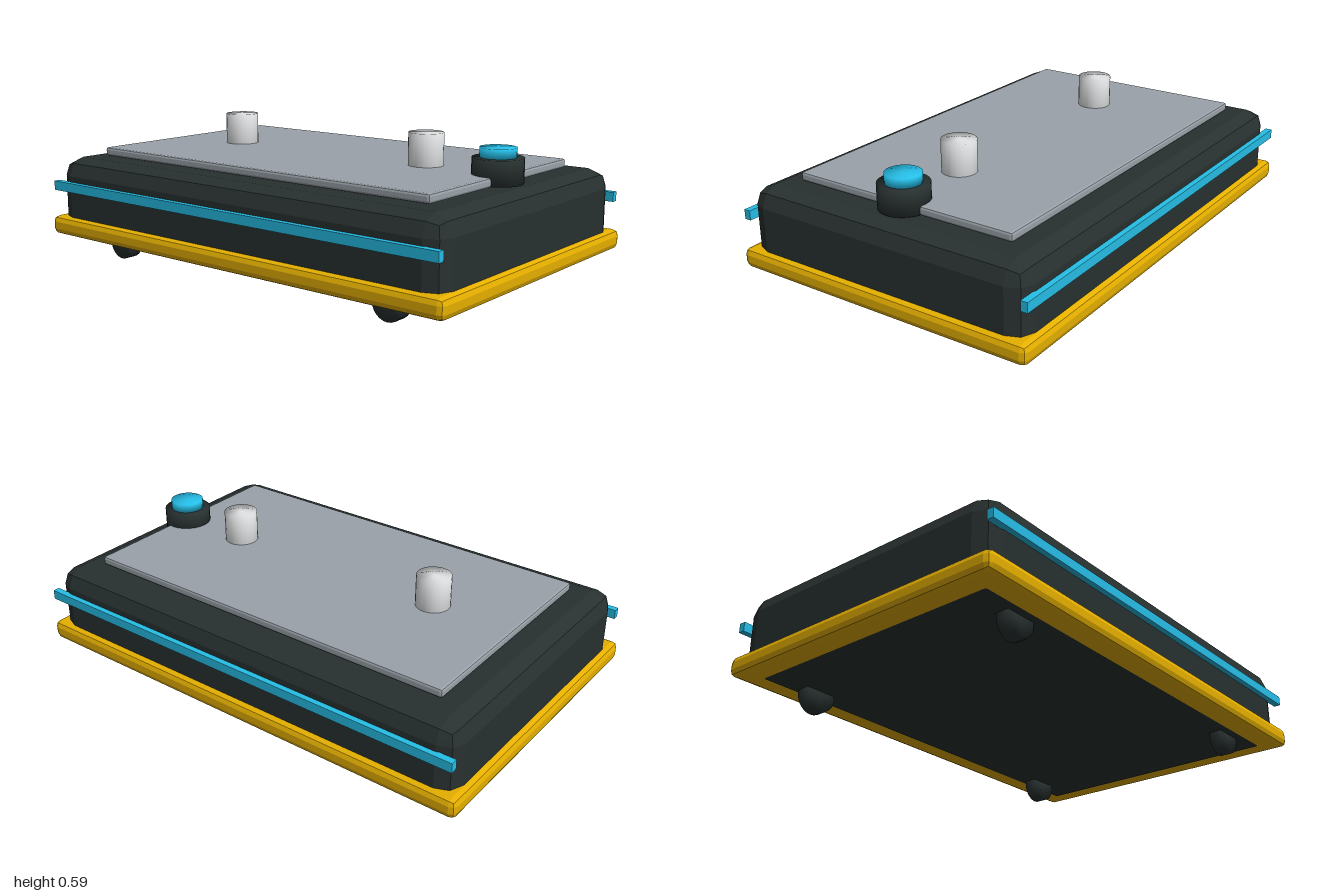
import * as THREE from 'three';
import { RoundedBoxGeometry } from 'three/addons/geometries/RoundedBoxGeometry.js';
import { mergeVertices } from 'three/addons/utils/BufferGeometryUtils.js';

const material = (name, color) => {
  const m = new THREE.MeshStandardMaterial({ color });
  m.name = name;
  return m;
};

// Cylinder whose normals blend softly across the rims
function softCylinder(radius, height) {
  const g = new THREE.CylinderGeometry(radius, radius, height, 24);
  g.deleteAttribute('normal');
  g.deleteAttribute('uv');
  const merged = mergeVertices(g);
  merged.computeVertexNormals();
  return merged;
}

// Box with faceted bevels
function bevelBox(width, height, depth, radius) {
  const g = new RoundedBoxGeometry(width, height, depth, 1, radius);
  g.computeVertexNormals();
  return g;
}

export function createModel() {
  const model = new THREE.Group();
  model.name = 'wheeledPlatform';

  const charcoal = material('charcoal', 0x283130);
  const yellow = material('yellow', 0xe6b000);
  const cyan = material('cyan', 0x26bfe8);
  const grey = material('grey', 0x9aa2a9);
  const silver = material('silver', 0xeef0f1);

  const add = (name, geometry, mat, x, y, z) => {
    const mesh = new THREE.Mesh(geometry, mat);
    mesh.name = name;
    mesh.position.set(x, y, z);
    model.add(mesh);
    return mesh;
  };

  // Bumper rim, with the bevelled body reaching just through its underside
  add('bumper', bevelBox(2, 0.08, 1.3, 0.025), yellow, 0, 0.126, 0);
  add('body', bevelBox(1.945, 0.335, 1.245, 0.075), charcoal, 0, 0.2505, 0);

  // Top deck
  add('deck', bevelBox(1.66, 0.036, 0.966, 0.01), grey, 0, 0.44, 0);

  // Light strips along the front and back
  for (const s of [1, -1]) {
    add(s > 0 ? 'frontStrip' : 'backStrip', new THREE.BoxGeometry(1.955, 0.039, 0.028), cyan, 0, 0.299, s * 0.631);
  }

  // Docking pegs
  for (const s of [1, -1]) {
    add(s > 0 ? 'leftPeg' : 'rightPeg', softCylinder(0.069, 0.15), silver, s * 0.486, 0.511, 0);
  }

  // Push button in its collar
  add('buttonCollar', softCylinder(0.097, 0.096), charcoal, 0.803, 0.473, 0);
  add('button', softCylinder(0.069, 0.04), cyan, 0.803, 0.538, 0);

  // Four wheels
  for (const sx of [1, -1]) {
    for (const sz of [1, -1]) {
      const name = (sz > 0 ? 'front' : 'back') + (sx > 0 ? 'Left' : 'Right') + 'Wheel';
      add(name, softCylinder(0.068, 0.052), charcoal, sx * 0.694, 0.068, sz * 0.5).rotation.x = Math.PI / 2;
    }
  }

  return model;
}
